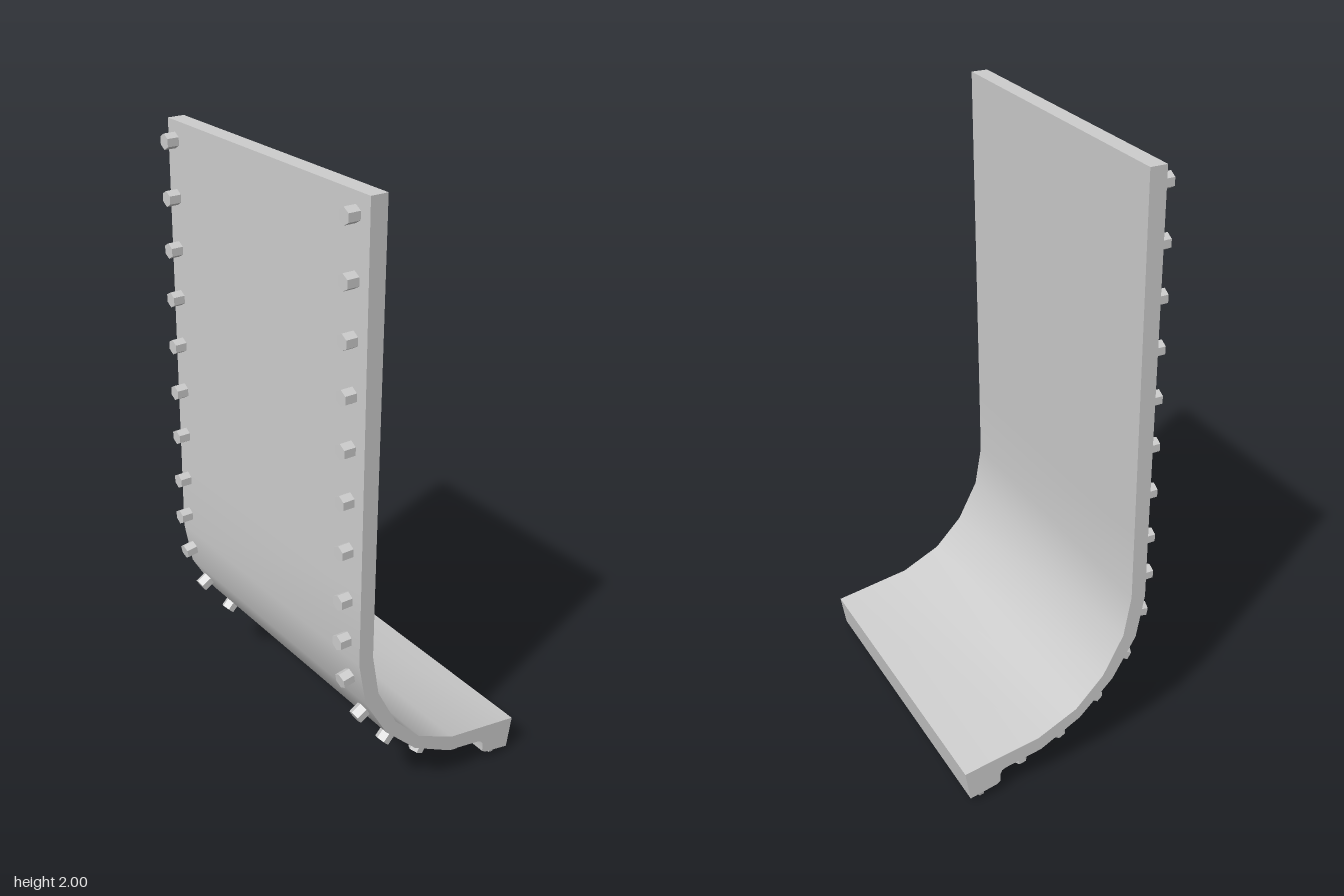
import * as THREE from 'three';
import { toCreasedNormals } from 'three/addons/utils/BufferGeometryUtils.js';

const WIDTH = 1.02;

// Side profile as [z, y]
const OUTER = [
  [0.275, 2], [0.295, 0.86], [0.3, 0.6], [0.275, 0.45], [0.196, 0.31],
  [0.08, 0.195], [-0.06, 0.12], [-0.185, 0.097],
];
const LIP = [[-0.2, 0.091], [-0.206, 0.078], [-0.206, 0.048], [-0.22, 0.039], [-0.312, 0.02], [-0.33, 0.128]];
const INNER = [[-0.07, 0.17], [0.065, 0.235], [0.16, 0.335], [0.228, 0.47], [0.25, 0.61], [0.245, 0.86], [0.22, 2]];

export function createModel() {
  const model = new THREE.Group();
  model.name = 'curvedPlate';
  const material = new THREE.MeshStandardMaterial({ color: 0xcccccc });
  const boltMaterial = new THREE.MeshStandardMaterial({ color: 0xcccccc, flatShading: true });

  // Bent plate with thick lip
  const shape = new THREE.Shape([...OUTER, ...LIP, ...INNER].map(([z, y]) => new THREE.Vector2(z, y)));
  const plain = new THREE.ExtrudeGeometry(shape, { depth: WIDTH, bevelEnabled: false });
  plain.translate(0, 0, -WIDTH / 2).rotateY(-Math.PI / 2);
  const plate = new THREE.Mesh(toCreasedNormals(plain, 0.55), material);
  plate.name = 'plate';
  model.add(plate);

  // Bolt heads: base sits just inside the surface, axis along the outward normal
  const headGeometry = new THREE.CylinderGeometry(0.025, 0.025, 0.045, 6).translate(0, 0.0155, 0);
  const studGeometry = new THREE.CylinderGeometry(0.014, 0.022, 0.03, 6).translate(0, 0.011, 0);
  const up = new THREE.Vector3(0, 1, 0);
  function addBolt(group, geometry, x, z, y, angle) {
    const bolt = new THREE.Mesh(geometry, boltMaterial);
    bolt.name = 'bolt';
    bolt.position.set(x, y, z);
    bolt.quaternion.setFromUnitVectors(up, new THREE.Vector3(0, Math.sin(angle), Math.cos(angle)));
    group.add(bolt);
  }

  // Columns of bolts down both edges
  const heights = [1.94, 1.765, 1.6, 1.44, 1.28, 1.12, 0.96, 0.797, 0.66];
  for (const [name, x] of [['rightEdgeBolts', -0.47], ['leftEdgeBolts', 0.448]]) {
    const column = new THREE.Group();
    column.name = name;
    for (const y of heights) {
      const i = y > 0.86 ? 0 : 1;
      const [a, b] = [OUTER[i], OUTER[i + 1]];
      const z = a[0] + (b[0] - a[0]) * (a[1] - y) / (a[1] - b[1]);
      addBolt(column, headGeometry, x, z, y, 0);
    }
    // One bolt centred on each facet of the bend
    for (let i = 2; i < OUTER.length - 1; i++) {
      const [a, b] = [OUTER[i], OUTER[i + 1]];
      const angle = Math.atan2(b[0] - a[0], a[1] - b[1]);
      addBolt(column, headGeometry, x, (a[0] + b[0]) / 2, (a[1] + b[1]) / 2, angle);
    }
    model.add(column);
  }

  // Row of small studs under the lip
  const row = new THREE.Group();
  row.name = 'lipStuds';
  for (let i = 0; i < 14; i++) addBolt(row, studGeometry, -0.483 + i * 0.0737, -0.27, 0.029, -1.36);
  model.add(row);

  return model;
}
